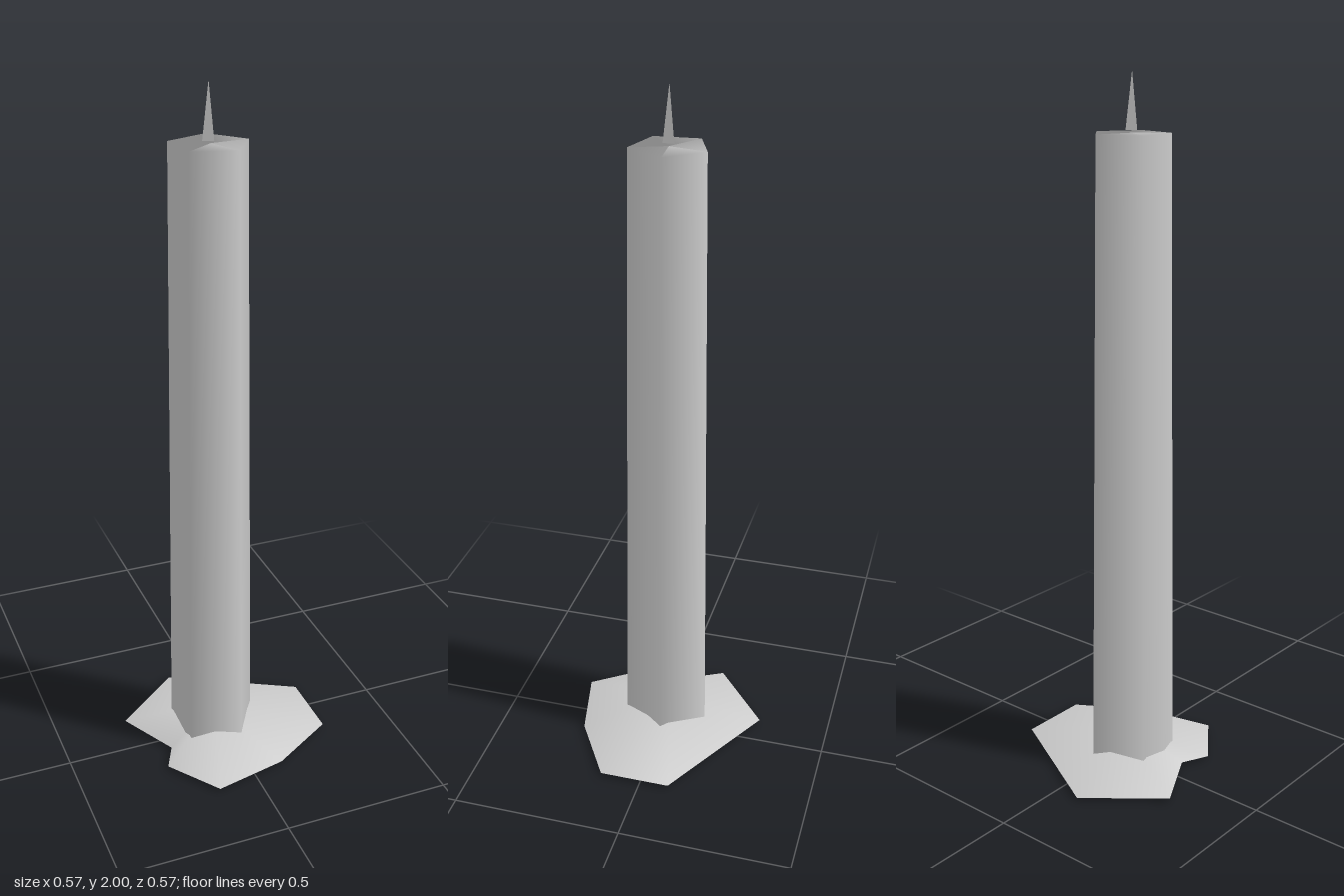
import * as THREE from 'three';

const AXIS_X = -0.037;
const HEIGHT = 1.84;

function makeMesh(name, geometry, flatShading = false) {
  const material = new THREE.MeshStandardMaterial({ color: 0xcccccc, side: THREE.DoubleSide, flatShading });
  const mesh = new THREE.Mesh(geometry, material);
  mesh.name = name;
  return mesh;
}

function indexed(positions, index) {
  const geometry = new THREE.BufferGeometry();
  geometry.setAttribute('position', new THREE.Float32BufferAttribute(positions, 3));
  geometry.setIndex(index);
  geometry.computeVertexNormals();
  return geometry;
}

// Tapered five-sided shaft, open below, closed above by a fan.
// The shading normals point outward from the axis on shaft and fan alike.
function candleGeometry() {
  const bottom = [[-0.005, -0.128], [0.093, -0.01], [0.01, 0.121], [-0.14, 0.083], [-0.15, -0.07]];
  const top = [[-0.01, -0.109], [0.072, -0.01], [0.003, 0.1], [-0.122, 0.067], [-0.132, -0.063]];
  const centre = top.map(() => [AXIS_X, 0]);
  const rings = [[bottom, 0], [top, HEIGHT], [centre, HEIGHT]];
  const n = bottom.length;
  const positions = [], normals = [], index = [];

  rings.forEach(([ring, y], r) => {
    ring.forEach(([x, z], i) => {
      positions.push(x, y, z);
      const out = new THREE.Vector3(bottom[i][0] - AXIS_X, 0.005, bottom[i][1]).normalize();
      normals.push(out.x, out.y, out.z);
      if (r === rings.length - 1) return;
      const a = r * n + i, b = r * n + (i + 1) % n;
      index.push(a, a + n, b);
      if (r === 0) index.push(b, a + n, b + n);
    });
  });
  const geometry = indexed(positions, index);
  geometry.setAttribute('normal', new THREE.Float32BufferAttribute(normals, 3));
  return geometry;
}

// Irregular shallow cone of melted wax around the foot.
function waxPoolGeometry() {
  const rim = [
    [-0.083, -0.288], [0.285, -0.087], [0.285, 0.121], [0.093, 0.238],
    [-0.124, 0.286], [-0.233, 0.135], [-0.195, 0.056], [-0.287, -0.121],
  ];
  const positions = [AXIS_X, 0.1, 0], index = [];
  rim.forEach(([x, z], i) => {
    positions.push(x, 0.01, z);
    index.push(0, 1 + (i + 1) % rim.length, 1 + i);
  });
  return indexed(positions, index);
}

export function createModel() {
  const model = new THREE.Group();
  model.name = 'candle';
  model.add(makeMesh('candleShaft', candleGeometry()));
  model.add(makeMesh('waxPool', waxPoolGeometry()));

  // Three-sided spike of a wick
  const wickHeight = 2 - HEIGHT - 0.008;
  const wick = makeMesh('wick', new THREE.ConeGeometry(0.018, wickHeight, 3, 1, false, -Math.PI / 2), true);
  wick.position.set(-0.042, 2 - wickHeight / 2, 0);
  model.add(wick);
  return model;
}
